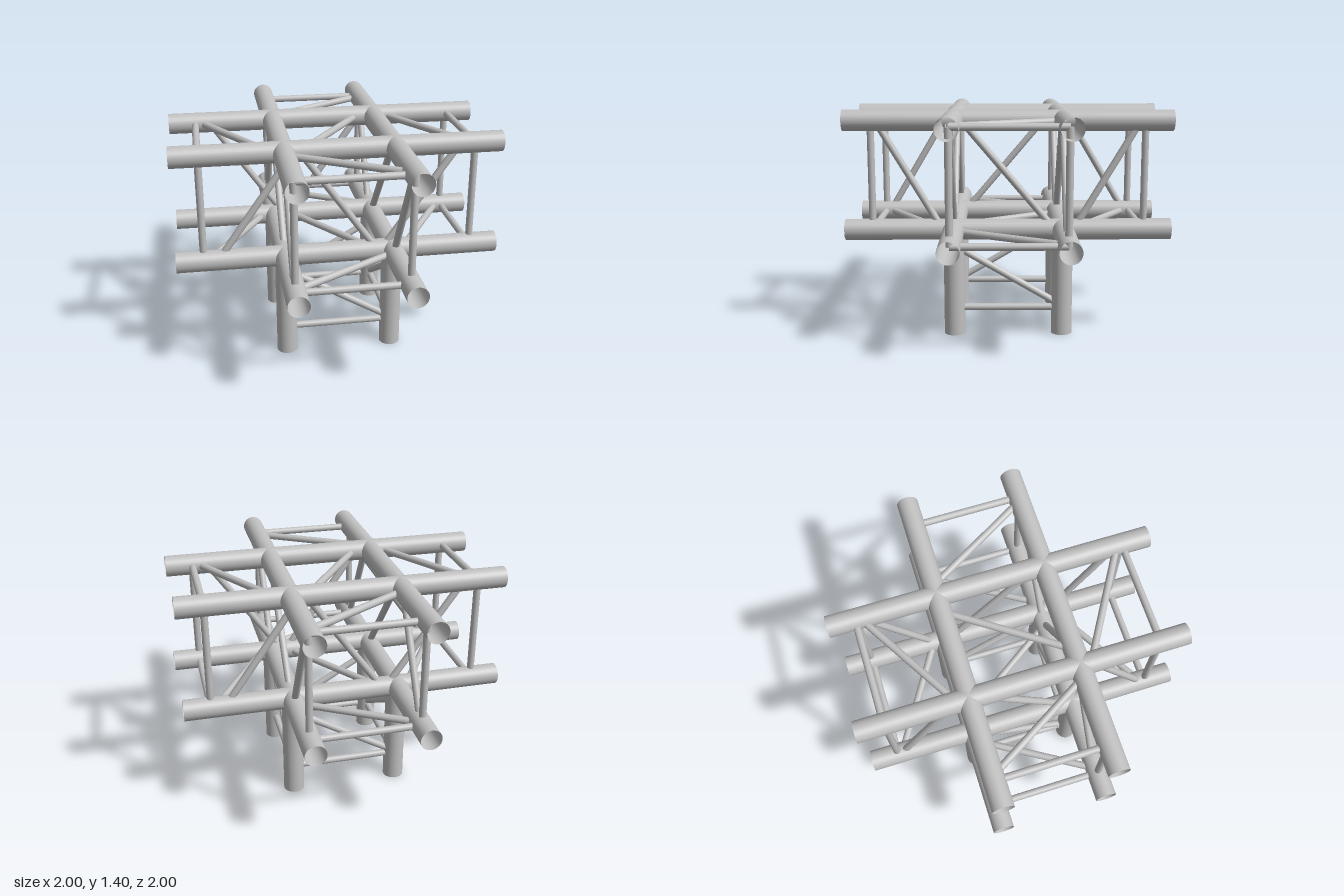
import * as THREE from 'three';

const R = 0.065;      // main tube radius
const r = 0.022;      // brace radius
const A = 0.335;      // tube axis offset from the centre
const LOW = 1 - A, HIGH = 1 + A;
const END = 0.833;    // distance of the end frames from the centre

export function createModel() {
  const model = new THREE.Group();
  // Double sided, as the main tubes are hollow
  const metal = new THREE.MeshStandardMaterial({ color: 0xc0c0c0, side: THREE.DoubleSide });
  metal.name = 'brushed aluminium';

  // Round bar between two points
  function bar(parent, name, a, b, radius = r, open = false) {
    const p = new THREE.Vector3(...a), q = new THREE.Vector3(...b);
    const dir = q.clone().sub(p);
    const geo = new THREE.CylinderGeometry(radius, radius, dir.length(), open ? 32 : 16, 1, open);
    const mesh = new THREE.Mesh(geo, metal);
    mesh.name = name;
    mesh.position.copy(p).add(q).multiplyScalar(0.5);
    mesh.quaternion.setFromUnitVectors(new THREE.Vector3(0, 1, 0), dir.normalize());
    parent.add(mesh);
  }
  function group(name) {
    const g = new THREE.Group();
    g.name = name;
    model.add(g);
    return g;
  }

  // Main chords, hollow at the ends
  const chords = group('mainTubes');
  for (const s of [-A, A]) {
    for (const y of [LOW, HIGH]) {
      bar(chords, 'crossTube', [-1, y, s], [1, y, s], R, true);
      bar(chords, 'depthTube', [s, y, -1], [s, y, 1], R, true);
    }
    for (const z of [-A, A]) bar(chords, 'legTube', [s, 0, z], [s, LOW, z], R, true);
  }

  // Each of four turns: end frame, horizontal diagonals and one leg face
  for (let i = 0; i < 4; i++) {
    const g = group('armBracing');
    g.rotation.y = i * Math.PI / 2;
    const lean = i === 0 ? -A : A; // the front arm mirrors the back one
    for (const s of [-1, 1]) {
      bar(g, 'endPost', [s * A, LOW, END], [s * A, HIGH, END]);
      const y = 1 + s * A;
      bar(g, 'endRail', [-A, y, END], [A, y, END]);
      bar(g, 'flatDiagonal', [-s * lean, y, 0.805], [s * lean, y, 0.405]);
    }
    bar(g, 'legRail', [-A, 1 - END, A], [A, 1 - END, A]);
    bar(g, 'legDiagonal', [-A, 0.565, A], [A, 0.175, A]);
  }

  // Upright diagonals; opposite faces lean opposite ways
  const braces = group('sideDiagonals');
  for (const s of [-1, 1]) {
    const top = 1 + s * A, bottom = 1 - s * A;
    // front and back faces: one zigzag along x
    const z = s * A;
    bar(braces, 'frontBackDiagonal', [-0.742, bottom, z], [-0.27, top, z]);
    bar(braces, 'frontBackDiagonal', [-0.24, top, z], [0.24, bottom, z]);
    bar(braces, 'frontBackDiagonal', [0.27, bottom, z], [0.742, top, z]);
    // left and right faces
    const x = s * A;
    for (const e of [-1, 1]) {
      bar(braces, 'sideDiagonal', [x, top, e * 0.805], [x, bottom, e * 0.405]);
    }
    bar(braces, 'sideDiagonal', [x, top, 0.285], [x, bottom, -0.285]);
    // centre bay, top and bottom
    bar(braces, 'centreDiagonal', [-0.23, top, s * A], [0.23, top, -s * A]);
  }
  return model;
}
